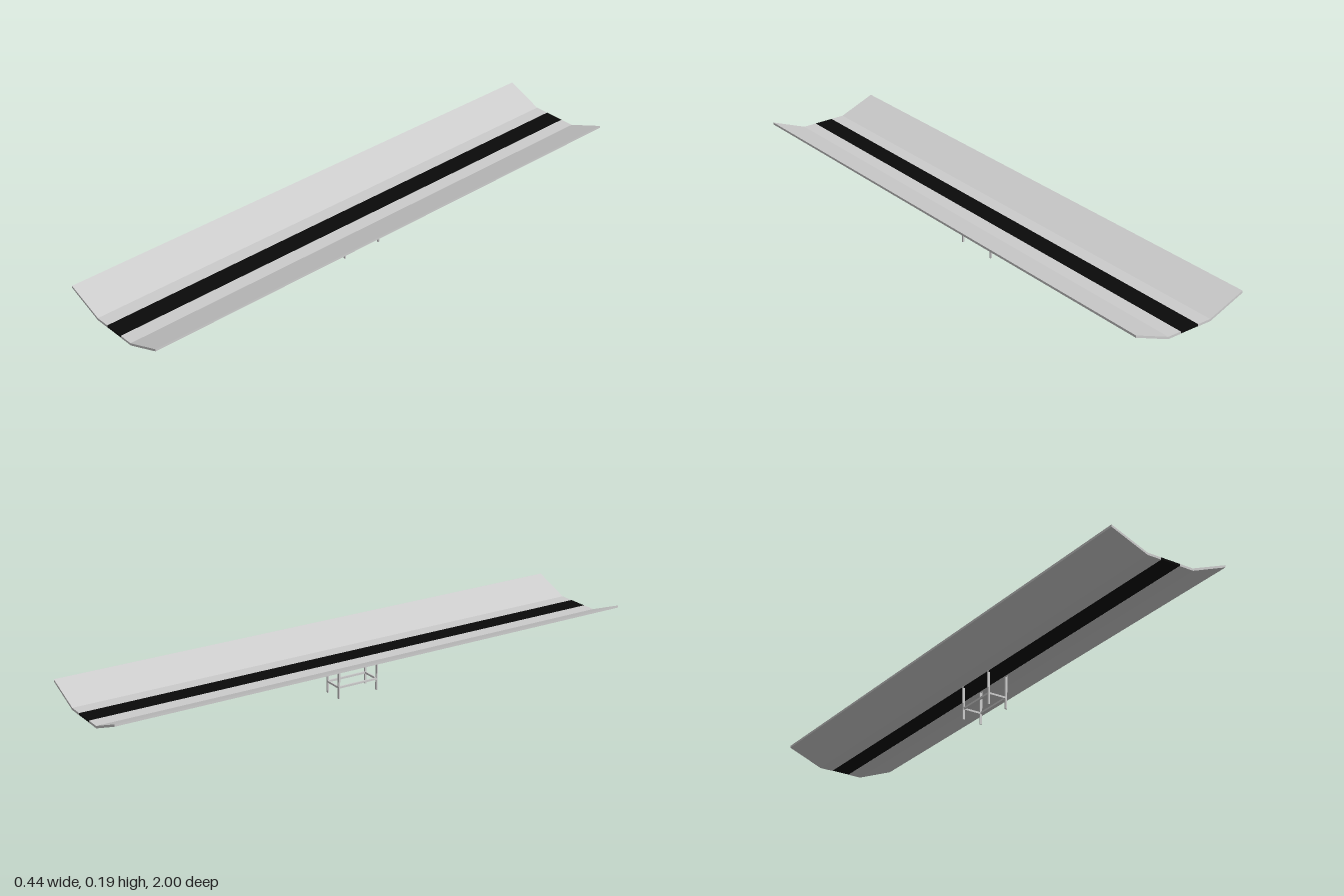
import * as THREE from 'three';

const LENGTH = 2;
const grey = new THREE.MeshStandardMaterial({ color: 0xcccccc, flatShading: true });
const black = new THREE.MeshStandardMaterial({ color: 0x0a0a0a, flatShading: true });

function box(name, size, position, material = grey) {
  const mesh = new THREE.Mesh(new THREE.BoxGeometry(...size), material);
  mesh.name = name;
  mesh.position.set(...position);
  return mesh;
}

// Bent roof panel: flat inner part, then a wing rising to the outer edge.
function roofPanel(side) {
  const points = [
    [0.036, 0.125], [0.088, 0.125], [0.221, 0.178],
    [0.221, 0.186], [0.087, 0.133], [0.036, 0.133],
  ].map(([x, y]) => new THREE.Vector2(side * x, y));
  const geometry = new THREE.ExtrudeGeometry(new THREE.Shape(points), {
    depth: LENGTH, bevelEnabled: false,
  });
  geometry.translate(0, 0, -LENGTH / 2);
  const mesh = new THREE.Mesh(geometry, grey);
  mesh.name = side > 0 ? 'leftRoofPanel' : 'rightRoofPanel';
  return mesh;
}

export function createModel() {
  const model = new THREE.Group();
  model.name = 'platformCanopy';

  // Roof with a dark strip along the middle
  const roof = new THREE.Group();
  roof.name = 'roof';
  roof.add(roofPanel(1), roofPanel(-1));
  roof.add(box('centreStrip', [0.072, 0.007, LENGTH], [0, 0.1295, 0], black));
  model.add(roof);

  // Four-legged support frame under the middle of the roof
  const frame = new THREE.Group();
  frame.name = 'supportFrame';
  const legX = 0.035, legZ = 0.077, barY = 0.041;
  for (const sx of [1, -1]) {
    for (const sz of [1, -1]) {
      frame.add(box('leg', [0.007, 0.119, 0.005], [sx * legX, 0.0595, sz * legZ]));
      // Thin plate that ties the leg to the roof
      frame.add(box('bracket', [0.002, 0.073, 0.005], [sx * 0.0395, 0.0975, sz * legZ]));
    }
    frame.add(box('sideRail', [0.006, 0.007, 2 * legZ - 0.005], [sx * legX, barY, 0]));
  }
  for (const sz of [1, -1]) {
    frame.add(box('crossBar', [2 * legX - 0.007, 0.007, 0.005], [0, barY, sz * legZ]));
  }
  model.add(frame);

  return model;
}
